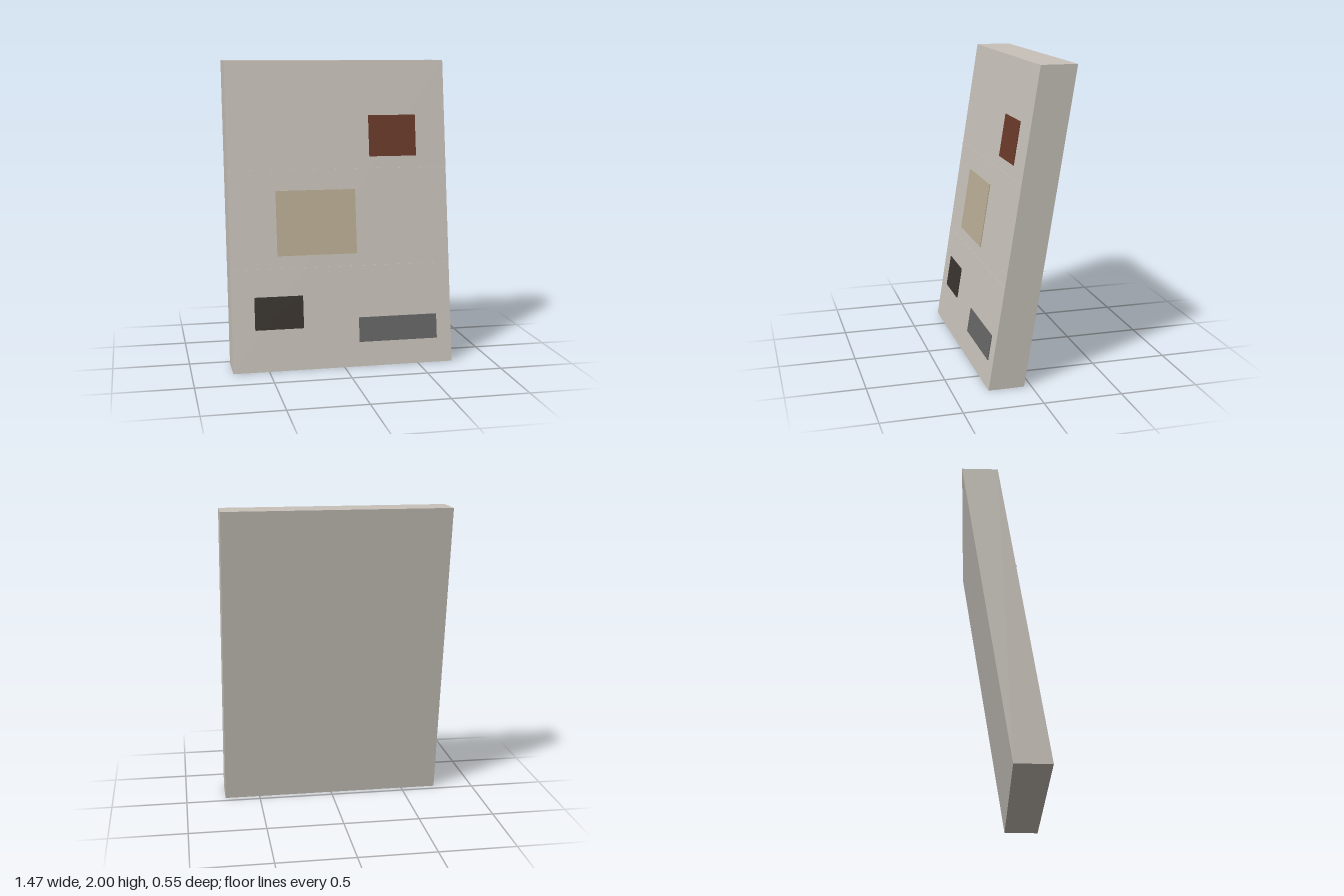
import * as THREE from 'three';

const LEAN = 0.16; // backward shift per unit of height
const DEPTH = 0.23;
const FRONT = 0.275; // front face at ground level

const colour = (name, color) => {
  const m = new THREE.MeshStandardMaterial({ color });
  m.name = name;
  return m;
};

// Box given by its x, y and z limits, sheared back with the slab
function leaningBox(name, material, [x0, x1], [y0, y1], [z0, z1]) {
  const geometry = new THREE.BoxGeometry(x1 - x0, y1 - y0, z1 - z0);
  geometry.translate((x0 + x1) / 2, (y0 + y1) / 2, (z0 + z1) / 2);
  const shear = new THREE.Matrix4().set(1, 0, 0, 0, 0, 1, 0, 0, 0, -LEAN, 1, 0, 0, 0, 0, 1);
  geometry.applyMatrix4(shear);
  const mesh = new THREE.Mesh(geometry, material);
  mesh.name = name;
  return mesh;
}

export function createModel() {
  const model = new THREE.Group();
  model.name = 'leaningPanel';

  const stone = colour('paleStone', 0xc8c2ba);
  const rust = colour('rustRed', 0x6b3a2a);
  const tan = colour('tan', 0xb9ad94);
  const dark = colour('darkBrown', 0x3a342e);
  const grey = colour('grey', 0x666666);

  // Leaning slab
  model.add(leaningBox('slab', stone, [-0.735, 0.735], [0, 2], [FRONT - DEPTH, FRONT]));

  // Fine horizontal seams across the front
  for (const y of [0.655, 1.29]) {
    model.add(leaningBox('seam', stone, [-0.735, 0.735], [y - 0.004, y + 0.004], [FRONT - 0.002, FRONT + 0.002]));
  }

  // Thin coloured patches on the front
  const patches = [
    ['rustPatch', rust, [0.21, 0.53], [1.37, 1.64]],
    ['tanPatch', tan, [-0.425, 0.105], [0.74, 1.16]],
    ['darkPatch', dark, [-0.585, -0.265], [0.27, 0.48]],
    ['greyPatch', grey, [0.105, 0.635], [0.16, 0.32]],
  ];
  for (const [name, material, xs, ys] of patches) {
    model.add(leaningBox(name, material, xs, ys, [FRONT - 0.003, FRONT + 0.005]));
  }
  return model;
}
